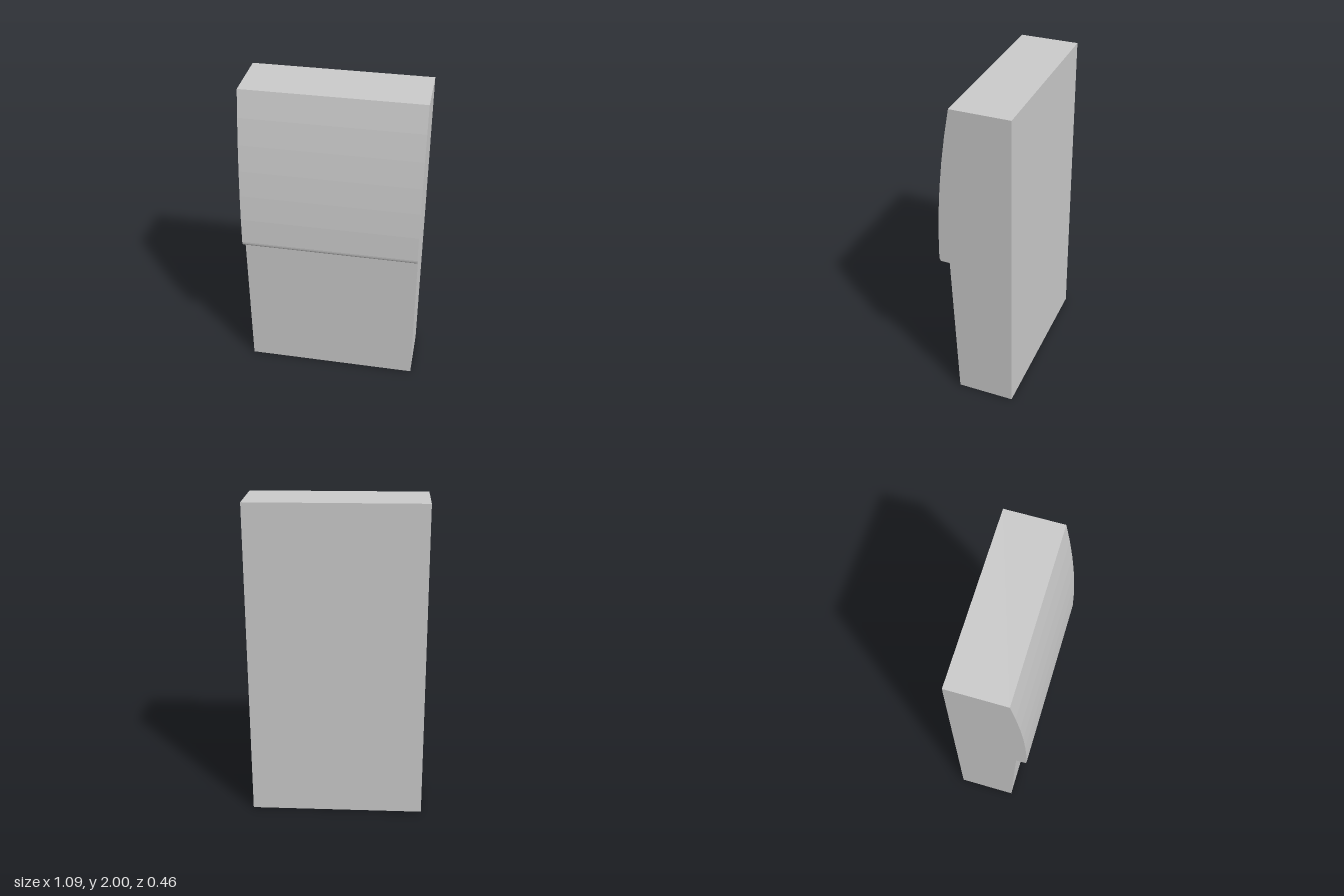
import * as THREE from 'three';

const WIDTH = 1.084;
const ROLL = -0.0035; // the block leans very slightly sideways

export function createModel() {
  const group = new THREE.Group();
  group.name = 'steppedBlock';

  // Side profile: shape x becomes model z, shape y stays up
  const profile = new THREE.Shape();
  profile.moveTo(-0.228, -0.998);
  profile.lineTo(0.13, -0.998);
  profile.lineTo(0.164, -0.018); // sloping lower face
  profile.lineTo(0.213, -0.018); // underside of the overhang
  profile.quadraticCurveTo(0.228, -0.018, 0.23, 0.01); // rounded lip
  profile.quadraticCurveTo(0.228, 0.5, 0.13, 0.998); // bulging upper face
  profile.lineTo(-0.228, 0.998);
  profile.closePath();

  const geometry = new THREE.ExtrudeGeometry(profile, {
    depth: WIDTH, bevelEnabled: false, curveSegments: 6,
  });
  geometry.translate(0, 0, -WIDTH / 2);
  geometry.rotateY(-Math.PI / 2);
  geometry.rotateZ(ROLL);
  geometry.translate(0, 1, 0);

  const body = new THREE.Mesh(
    geometry,
    new THREE.MeshStandardMaterial({ color: 0xcccccc, flatShading: true })
  );
  body.name = 'body';
  group.add(body);
  return group;
}
